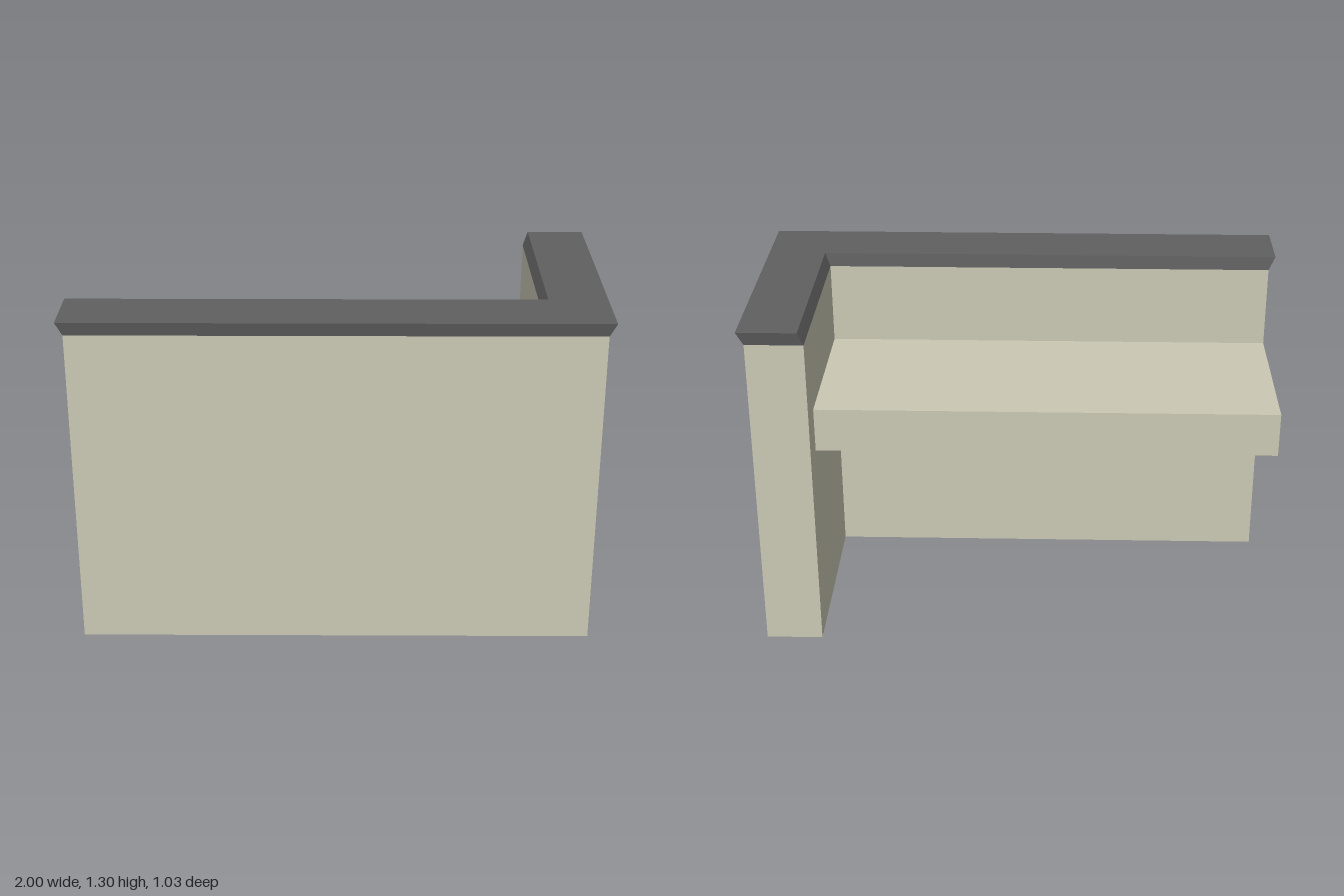
import * as THREE from 'three';

// Extrudes an L-shaped plan upward; the top outline is scaled by `flare` about the centre
function lPrism(y0, y1, flare = 1) {
  const X = 0.975, Z = 0.501, innerX = 0.76, innerZ = 0.264;
  // plan corners as (x, -z), counter-clockwise
  const plan = [[-X, -Z], [X, -Z], [X, Z], [innerX, Z], [innerX, -innerZ], [-X, -innerZ]];
  const shape = new THREE.Shape(plan.map(([x, y]) => new THREE.Vector2(x, y)));
  const geo = new THREE.ExtrudeGeometry(shape, { depth: y1 - y0, bevelEnabled: false });
  geo.rotateX(-Math.PI / 2).translate(0, y0, 0);
  const pos = geo.attributes.position;
  const mid = (y0 + y1) / 2;
  for (let i = 0; i < pos.count; i++) {
    if (pos.getY(i) > mid) {
      pos.setX(i, pos.getX(i) * flare);
      pos.setZ(i, pos.getZ(i) * flare);
    }
  }
  geo.computeVertexNormals();
  return geo;
}

export function createModel() {
  const group = new THREE.Group();
  group.name = 'counter';
  const cream = new THREE.MeshStandardMaterial({ name: 'cream', color: 0xcac8b4 });
  const charcoal = new THREE.MeshStandardMaterial({ name: 'charcoal', color: 0x606060 });

  const add = (name, geo, mat) => {
    const mesh = new THREE.Mesh(geo, mat);
    mesh.name = name;
    group.add(mesh);
    return mesh;
  };

  // Front panel and left return wall
  add('walls', lPrism(0, 1.25), cream);

  // Flared ledge on top of the walls
  add('ledge', lPrism(1.25, 1.303, 1.0256), charcoal);

  // Work shelf behind the front panel
  const x0 = -0.975, x1 = 0.76, z0 = -0.38, z1 = 0.264, y0 = 0.763, y1 = 0.934;
  add('workShelf', new THREE.BoxGeometry(x1 - x0, y1 - y0, z1 - z0), cream)
    .position.set((x0 + x1) / 2, (y0 + y1) / 2, (z0 + z1) / 2);

  return group;
}
